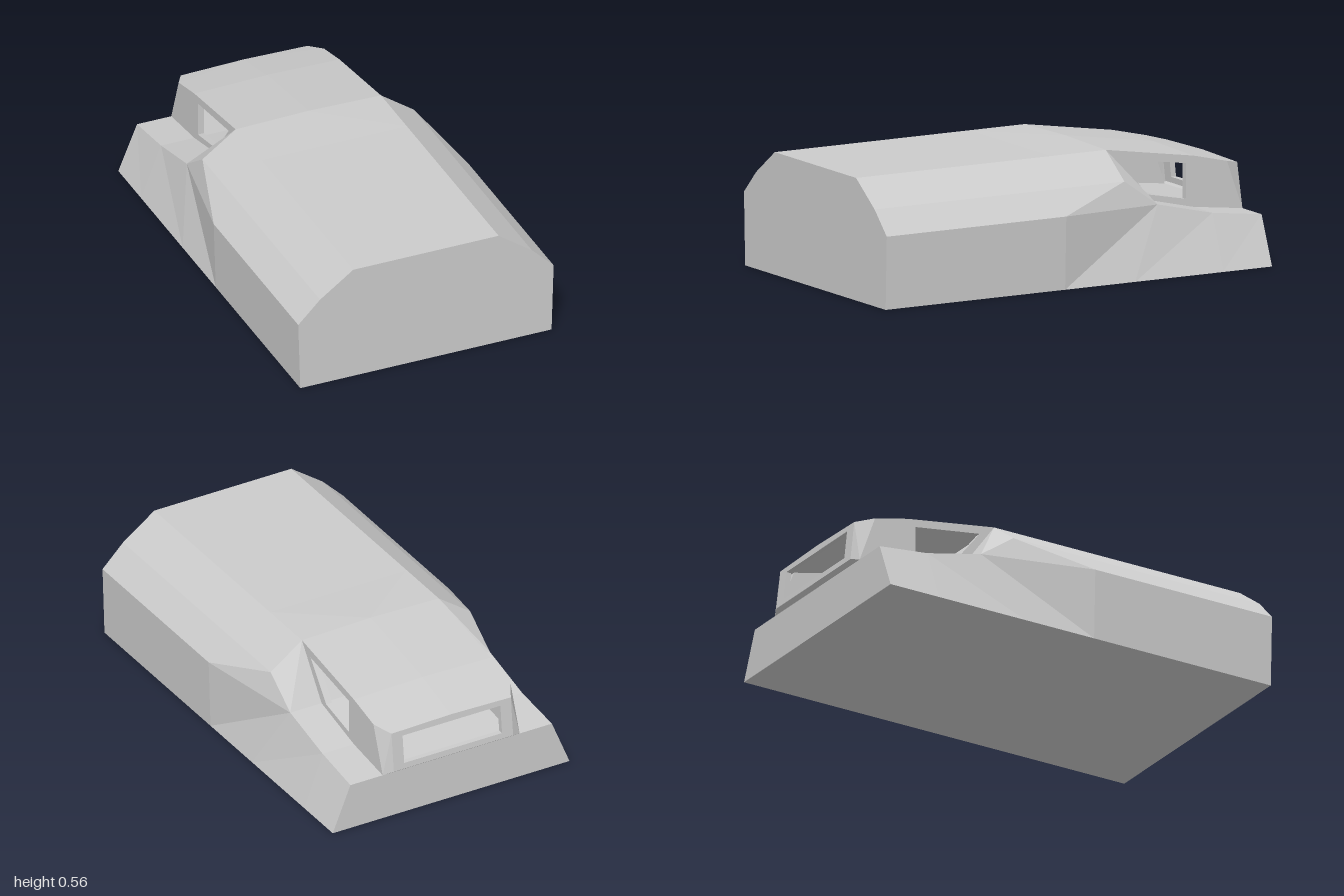
import * as THREE from 'three';

const material = new THREE.MeshStandardMaterial({
  color: 0xcccccc, flatShading: true, side: THREE.DoubleSide,
});

// Flat polygons given for the left (+x) half, mirrored to the other half
function mirroredPanels(name, polygons) {
  const positions = [];
  for (const side of [1, -1]) {
    for (const poly of polygons) {
      for (let i = 1; i < poly.length - 1; i++) {
        const tri = [poly[0], poly[i], poly[i + 1]];
        if (side < 0) tri.reverse();
        for (const [x, y, z] of tri) positions.push(side * x, y, z);
      }
    }
  }
  const geometry = new THREE.BufferGeometry();
  geometry.setAttribute('position', new THREE.Float32BufferAttribute(positions, 3));
  geometry.computeVertexNormals();
  const mesh = new THREE.Mesh(geometry, material);
  mesh.name = name;
  return mesh;
}

// Wall plate with a window opening
function windowWall(outline, opening, depth) {
  const toPoints = (list) => list.map(([x, y]) => new THREE.Vector2(x, y));
  const shape = new THREE.Shape(toPoints(outline));
  shape.holes.push(new THREE.Path(toPoints(opening)));
  return new THREE.ExtrudeGeometry(shape, { depth, bevelEnabled: false });
}

export function createModel() {
  const model = new THREE.Group();
  model.name = 'vehicleBody';
  const centre = ([, y, z]) => [0, y, z];

  // Key corners: base, shoulder, upper bend, roof edge, rear deck
  const base = [1, 0.08, -0.28, -0.73, -0.98].map((z) => [0.605, 0, z]);
  const shoulder = [1, 0.08].map((z) => [0.615, 0.33, z]);
  const bend = [1, 0.08, -0.28].map((z) => [0.51, 0.435, z]);
  const deck = [[0.51, 0.315, -0.45], [0.51, 0.25, -0.73], [0.515, 0.22, -0.98]];
  const roofEdge = [
    [0.35, 0.55, 1], [0.35, 0.55, 0], [0.35, 0.55, -0.28],
    [0.35, 0.48, -0.73], [0.35, 0.44, -0.9], [0.305, 0.42, -0.98],
  ];
  const ridgeHeights = [0.55, 0.55, 0.558, 0.488, 0.446, 0.427];
  const ridge = roofEdge.map(([, , z], i) => [0, ridgeHeights[i], z]);
  const cabinFoot = [0.35, 0.315, -0.45];

  // Lower hull with sloping upper sides
  model.add(mirroredPanels('hullSides', [
    [base[0], base[1], shoulder[1], shoulder[0]],
    [shoulder[0], shoulder[1], bend[1], bend[0]],
    [bend[0], bend[2], roofEdge[2], roofEdge[0]],
    [shoulder[1], deck[0], bend[2], bend[1]],
    [base[1], base[2], deck[0], shoulder[1]],
    [base[2], base[3], deck[1], deck[0]],
    [base[3], base[4], deck[2], deck[1]],
  ]));
  model.add(mirroredPanels('frontPanel', [
    [centre(base[0]), base[0], shoulder[0], bend[0], roofEdge[0], ridge[0]],
  ]));
  model.add(mirroredPanels('underside', [
    [base[0], centre(base[0]), centre(base[4]), base[4]],
  ]));
  model.add(mirroredPanels('rearPanel', [
    [base[4], centre(base[4]), centre(deck[2]), deck[2]],
  ]));

  // Rear deck and the slanted bulkhead rising from it
  model.add(mirroredPanels('rearDeck', [0, 1].map((i) => (
    [deck[i], deck[i + 1], centre(deck[i + 1]), centre(deck[i])]
  ))));
  model.add(mirroredPanels('bulkhead', [
    [roofEdge[2], bend[2], deck[0], cabinFoot],
    [centre(roofEdge[2]), roofEdge[2], cabinFoot, centre(cabinFoot)],
  ]));

  // Slightly crowned roof
  model.add(mirroredPanels('roof', roofEdge.slice(1).map((edge, i) => (
    [roofEdge[i], edge, ridge[i + 1], ridge[i]]
  ))));

  // Cabin side walls, drawn in (-z, y) and turned to face sideways
  for (const [name, x] of [['cabinWallLeft', 0.32], ['cabinWallRight', -0.35]]) {
    const geometry = windowWall(
      [[0.28, 0.55], [0.45, 0.315], [0.73, 0.25], [0.98, 0.22], [0.9, 0.44], [0.73, 0.48]],
      [[0.355, 0.5], [0.49, 0.33], [0.69, 0.29], [0.69, 0.45]],
      0.03,
    );
    geometry.rotateY(Math.PI / 2).translate(x, 0, 0);
    const wall = new THREE.Mesh(geometry, material);
    wall.name = name;
    model.add(wall);
  }

  // Chamfered cabin corners and the small ledge under the rear window
  const cornerFoot = [0.35, 0.22, -0.98];
  const sill = [0.305, 0.235, -1];
  model.add(mirroredPanels('cabinCorners', [[cornerFoot, sill, roofEdge[5], roofEdge[4]]]));
  model.add(mirroredPanels('rearLedge', [[centre(cornerFoot), centre(sill), sill, cornerFoot]]));

  // Rear window wall, leaning forward toward the roof
  const rear = windowWall(
    [[-0.305, 0.235], [0.305, 0.235], [0.305, 0.42], [0, 0.427], [-0.305, 0.42]],
    [[-0.25, 0.262], [-0.25, 0.395], [0.25, 0.395], [0.25, 0.262]],
    0.025,
  );
  const p = rear.attributes.position;
  for (let i = 0; i < p.count; i++) {
    p.setZ(i, p.getZ(i) - 1 + (p.getY(i) - 0.235) * (0.02 / 0.185));
  }
  rear.computeVertexNormals();
  const rearWall = new THREE.Mesh(rear, material);
  rearWall.name = 'rearWindowWall';
  model.add(rearWall);

  return model;
}
